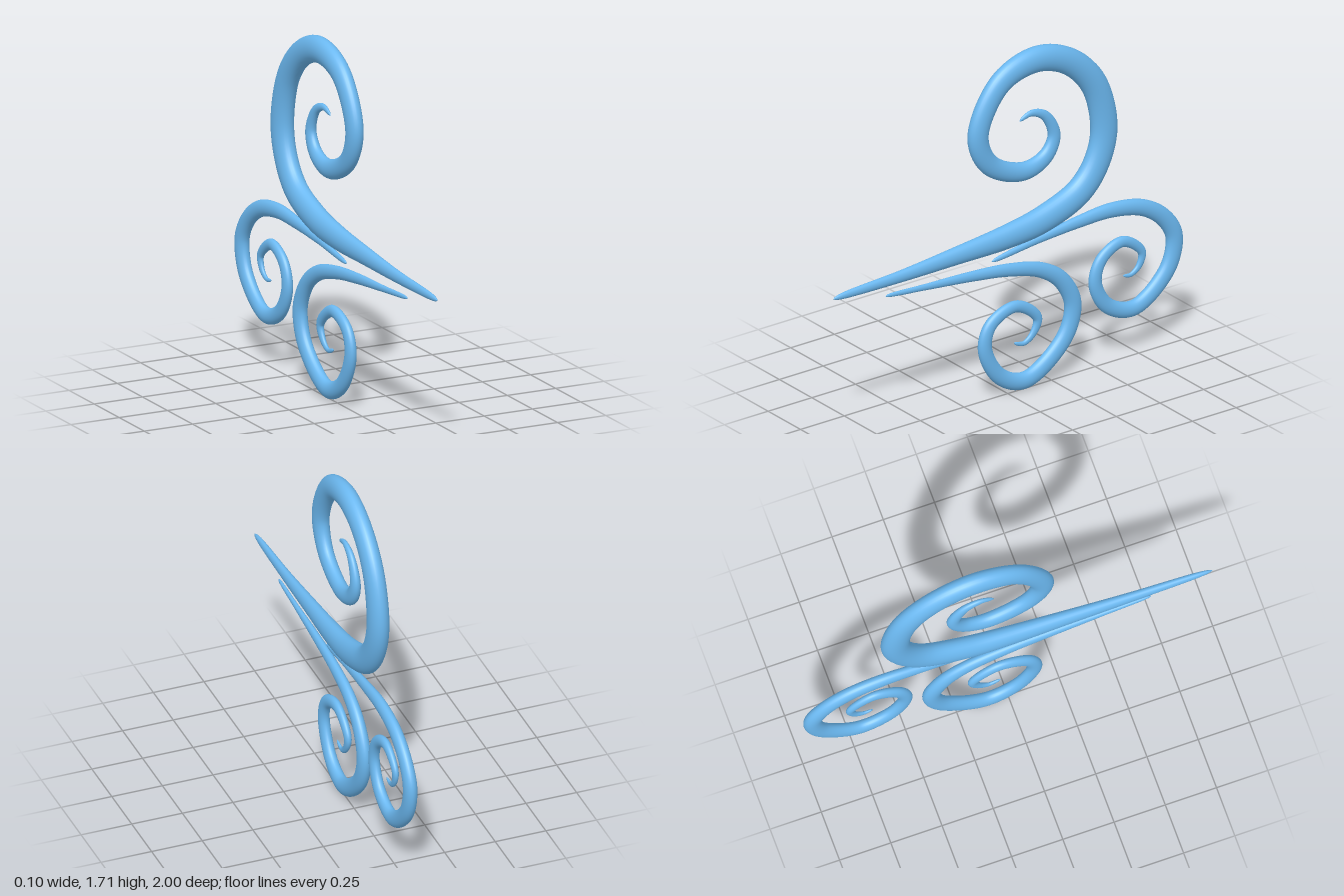
import * as THREE from 'three';

const FLATTEN = 0.72; // sideways thickness relative to in-plane thickness
const RINGS = 200, SIDES = 28;

// Each stroke: [z, y, half width] along its centreline, tip to curl end
const strokes = {
  largeUpperCurl: [
    [1, .755, 0], [.985, .755, .008], [.94, .757, .016], [.6, .765, .03], [.3, .781, .044],
    [0, .80, .06], [-.2, .832, .068], [-.41, .918, .07], [-.51, 1.04, .069], [-.55, 1.2, .069],
    [-.492, 1.437, .066], [-.345, 1.592, .064], [-.155, 1.651, .064], [.045, 1.583, .058],
    [.17, 1.353, .054], [.105, 1.19, .049], [-.09, 1.104, .046], [-.217, 1.146, .04],
    [-.265, 1.24, .033], [-.215, 1.35, .024], [-.137, 1.385, .016], [-.08, 1.368, .008], [-.067, 1.36, 0],
  ],
  lowerFrontCurl: [
    [.7, .687, 0], [.69, .687, .006], [.46, .671, .016], [.195, .652, .026], [-.01, .627, .032],
    [-.19, .578, .037], [-.307, .494, .041], [-.372, .358, .044], [-.323, .2, .044],
    [-.105, .048, .043], [.045, .104, .039], [.131, .267, .036], [.096, .378, .033],
    [-.045, .433, .029], [-.17, .342, .024], [-.145, .27, .018], [-.094, .234, .012],
    [-.045, .246, .007], [-.035, .252, 0],
  ],
  lowerBackCurl: [
    [.092, .698, 0], [.082, .698, .007], [-.18, .737, .02], [-.4, .762, .03], [-.6, .77, .037],
    [-.775, .733, .04], [-.896, .647, .042], [-.952, .54, .044], [-.912, .385, .043],
    [-.725, .243, .04], [-.57, .294, .037], [-.5, .428, .034], [-.537, .538, .031],
    [-.655, .594, .027], [-.767, .513, .021], [-.75, .446, .016], [-.705, .414, .011],
    [-.668, .418, .006], [-.658, .422, 0],
  ],
};

// Sweeps a tapering ellipse along a curve in the yz plane
function taperedStroke(points) {
  // The half width rides along in the curve's x component
  const curve = new THREE.CatmullRomCurve3(points.map(([z, y, r]) => new THREE.Vector3(r, y, z)));
  curve.arcLengthDivisions = 800;
  const positions = [], indices = [];
  for (let i = 0; i <= RINGS; i++) {
    // Bunch the rings towards both ends so the tips stay round
    const t = i / RINGS;
    const u = THREE.MathUtils.lerp(t, (1 - Math.cos(Math.PI * t)) / 2, 0.7);
    const p = curve.getPointAt(u), d = curve.getTangentAt(u);
    const len = Math.hypot(d.y, d.z) || 1;
    const ny = d.z / len, nz = -d.y / len;
    const r = i === 0 || i === RINGS ? 0 : Math.max(p.x, 0.0005);
    for (let j = 0; j < SIDES; j++) {
      const a = (j / SIDES) * Math.PI * 2, c = r * Math.cos(a);
      positions.push(r * FLATTEN * Math.sin(a), p.y + ny * c, p.z + nz * c);
      if (i < RINGS) {
        const k = (j + 1) % SIDES, row = i * SIDES, next = row + SIDES;
        indices.push(row + j, next + j, row + k, row + k, next + j, next + k);
      }
    }
  }
  const geometry = new THREE.BufferGeometry();
  geometry.setAttribute('position', new THREE.Float32BufferAttribute(positions, 3));
  geometry.setIndex(indices);
  geometry.computeVertexNormals();
  return geometry;
}

export function createModel() {
  const group = new THREE.Group();
  group.name = 'windSwirl';
  const material = new THREE.MeshStandardMaterial({ color: 0x6bb8f0 });
  for (const [name, points] of Object.entries(strokes)) {
    const mesh = new THREE.Mesh(taperedStroke(points), material);
    mesh.name = name;
    group.add(mesh);
  }
  return group;
}
